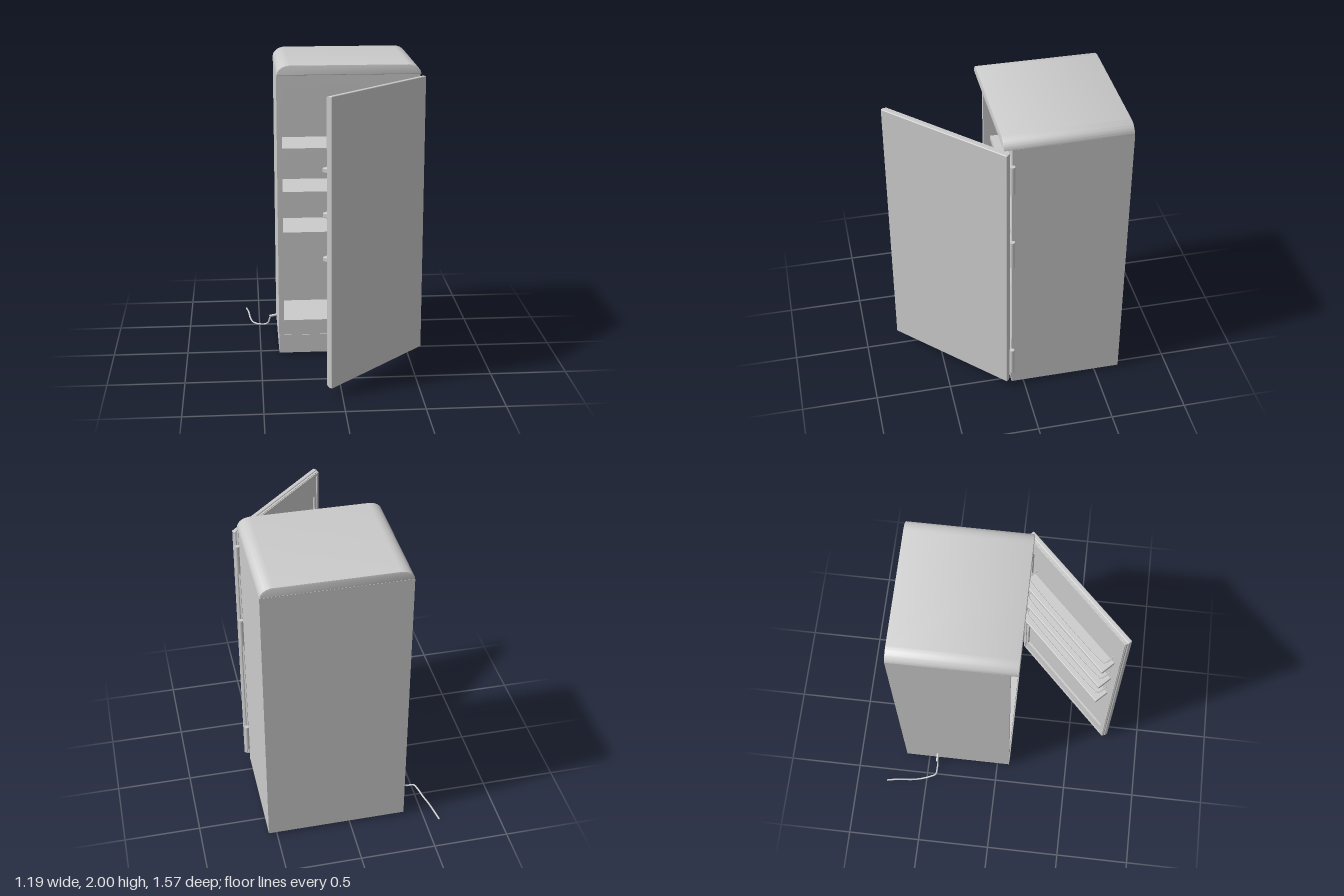
import * as THREE from 'three';
import { toCreasedNormals } from 'three/addons/utils/BufferGeometryUtils.js';
import { RoundedBoxGeometry } from 'three/addons/geometries/RoundedBoxGeometry.js';

const material = new THREE.MeshStandardMaterial({ color: 0xcccccc });

function add(parent, name, geometry, x = 0, y = 0, z = 0) {
  const mesh = new THREE.Mesh(geometry, material);
  mesh.name = name;
  mesh.position.set(x, y, z);
  parent.add(mesh);
  return mesh;
}

// Box given by its minimum and maximum corners
function addBox(parent, name, [x0, y0, z0], [x1, y1, z1], radius = 0) {
  const size = [x1 - x0, y1 - y0, z1 - z0];
  const geometry = radius ? new RoundedBoxGeometry(...size, 3, radius) : new THREE.BoxGeometry(...size);
  return add(parent, name, geometry, (x0 + x1) / 2, (y0 + y1) / 2, (z0 + z1) / 2);
}

function rect(Type, x0, y0, x1, y1) {
  return new Type([[x0, y0], [x1, y0], [x1, y1], [x0, y1]].map(p => new THREE.Vector2(...p)));
}

// Rectangular frame extruded along z
function addFrame(parent, name, outer, inner, z0, z1) {
  const shape = rect(THREE.Shape, ...outer);
  shape.holes.push(rect(THREE.Path, ...inner));
  return add(parent, name, new THREE.ExtrudeGeometry(shape, { depth: z1 - z0, bevelEnabled: false }), 0, 0, z0);
}

function addTube(parent, name, points, radius, segments) {
  const curve = new THREE.CatmullRomCurve3(points.map(p => new THREE.Vector3(...p)), false, 'centripetal');
  add(parent, name, new THREE.TubeGeometry(curve, segments, radius, 8), 0, 0, 0);
  for (const p of [points[0], points[points.length - 1]]) {
    add(parent, name + 'End', new THREE.SphereGeometry(radius, 8, 6), ...p);
  }
}

function buildCabinet(group) {
  const left = -0.375, right = 0.555, back = -0.665, front = 0.085, wall = -0.3;
  // Hollow front and solid rear of the cabinet
  addFrame(group, 'cabinetShell', [left, 0.02, right, 1.937], [-0.34, 0.255, 0.52, 1.855], wall, front);
  addBox(group, 'cabinetRear', [left, 0.02, back], [right, 1.937, wall]);
  addBox(group, 'kickPanel', [-0.365, 0.05, 0.08], [0.545, 0.15, front + 0.004]);

  // Overhanging top with rounded shoulders
  const cap = new THREE.Shape();
  const rx = 0.085, ry = 0.065, base = 1.935;
  cap.moveTo(left, base);
  cap.lineTo(right, base);
  cap.absellipse(right - rx, base, rx, ry, 0, Math.PI / 2);
  cap.absellipse(left + rx, base, rx, ry, Math.PI / 2, Math.PI);
  const capGeometry = new THREE.ExtrudeGeometry(cap, {
    depth: 0.789, curveSegments: 10, bevelSize: 0.006, bevelOffset: -0.006,
    bevelThickness: 0.006, bevelSegments: 2,
  });
  add(group, 'roundedTop', toCreasedNormals(capGeometry, 0.5), 0, 0, back + 0.006);

  for (const y of [0.845, 1.125, 1.42]) {
    addBox(group, 'innerShelf', [-0.34, y - 0.017, wall], [0.52, y + 0.017, 0.04]);
  }
}

// Door built in its closed direction, then swung open by 45 degrees
function buildDoor(group) {
  const door = new THREE.Group();
  door.name = 'door';
  door.rotation.y = Math.PI / 4;
  group.add(door);

  const x0 = -0.601, x1 = 0.329, y0 = 0.055, y1 = 1.92;
  addBox(door, 'doorPanel', [x0, y0, 0.475], [x1, y1, 0.505], 0.006);
  addFrame(door, 'doorLiner', [x0 + 0.006, y0 + 0.006, x1 - 0.006, y1 - 0.006],
    [x0 + 0.05, 0.2, x1 - 0.05, 1.74], 0.462, 0.478);
  addFrame(door, 'doorSeal', [x0 + 0.01, y0 + 0.01, x1 - 0.01, y1 - 0.01],
    [x0 + 0.03, y0 + 0.03, x1 - 0.03, y1 - 0.03], 0.456, 0.464);

  // Door shelves, each with a bent guard rail above
  const s0 = x0 + 0.067, s1 = x1 - 0.067;
  for (const y of [0.87, 1.155, 1.44]) {
    addBox(door, 'doorShelf', [s0, y - 0.016, 0.371], [s1, y + 0.016, 0.477], 0.005);
    const r = y + 0.085, a = s0 + 0.02, b = s1 - 0.02;
    addTube(door, 'guardRail', [
      [a, r, 0.477], [a, r, 0.42], [a + 0.008, r, 0.4], [a + 0.03, r, 0.392],
      [b - 0.03, r, 0.392], [b - 0.008, r, 0.4], [b, r, 0.42], [b, r, 0.477],
    ], 0.005, 48);
  }
}

export function createModel() {
  const group = new THREE.Group();
  group.name = 'refrigerator';
  buildCabinet(group);
  buildDoor(group);

  // Hinge barrels
  for (const y of [0.225, 1.15, 1.725]) {
    add(group, 'hinge', new THREE.CylinderGeometry(0.016, 0.016, 0.2, 16), 0.567, y, 0.085);
  }

  // Power cord with a thicker sleeve where it leaves the cabinet
  const sleeve = add(group, 'cordSleeve', new THREE.CylinderGeometry(0.009, 0.009, 0.06, 10), -0.4, 0.094, -0.435);
  sleeve.rotation.z = Math.PI / 2 + 0.2;
  addTube(group, 'powerCord', [
    [-0.375, 0.1, -0.435], [-0.42, 0.088, -0.435], [-0.438, 0.045, -0.43], [-0.46, 0.03, -0.432],
    [-0.51, 0.03, -0.437], [-0.53, 0.022, -0.475], [-0.55, 0.008, -0.54], [-0.566, 0.012, -0.61],
    [-0.577, 0.024, -0.7], [-0.592, 0.022, -0.782],
  ], 0.006, 64);
  return group;
}
